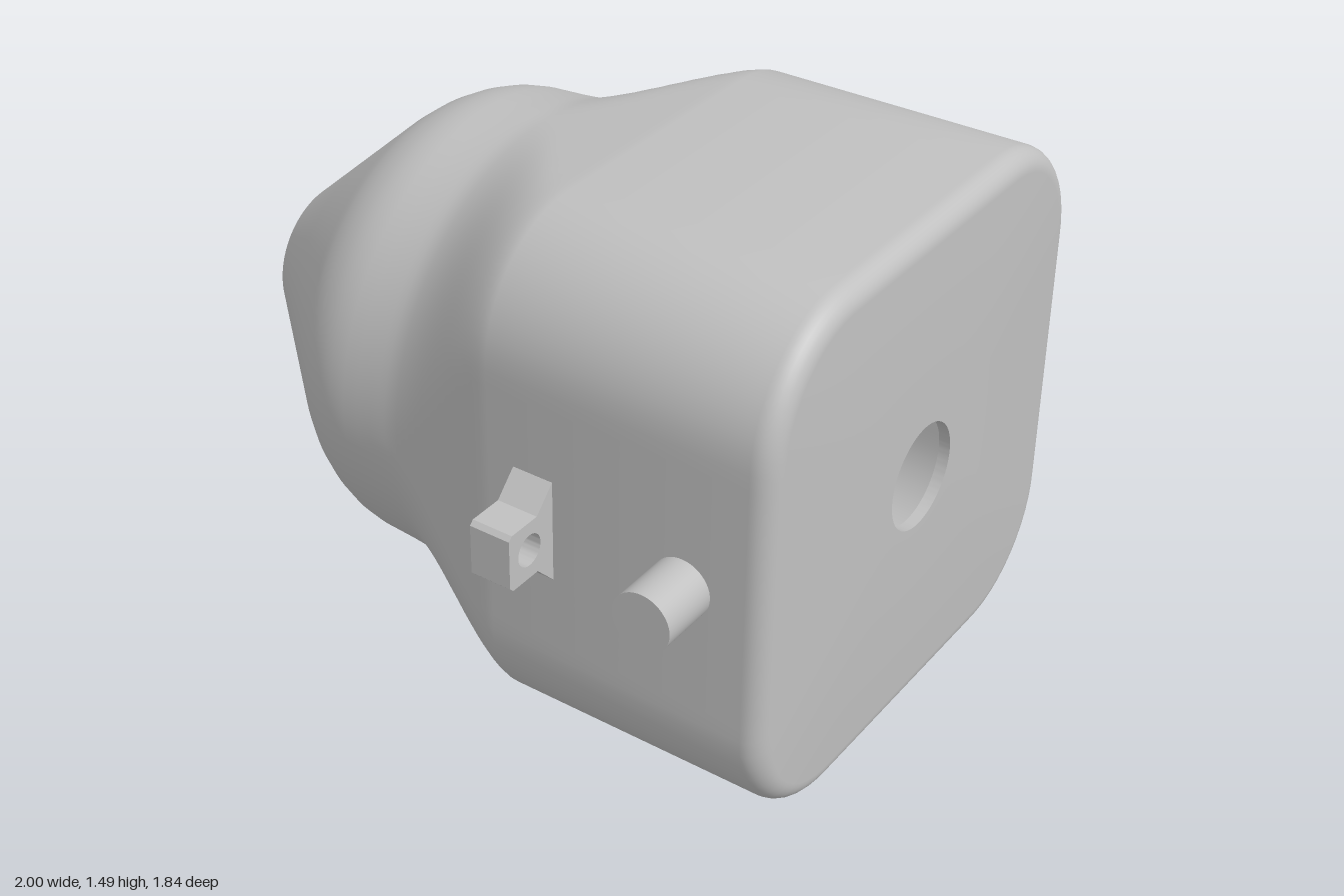
import * as THREE from 'three';
import { toCreasedNormals } from 'three/addons/utils/BufferGeometryUtils.js';

const CY = 0.745;      // height of the long axis
const HALF = 0.745;    // half width of the square end
const CORNER = 0.345;  // corner radius of the square end
const SEG = 128;

// Distance from centre to a rounded square (half width h, corner radius r) at angle a
function reach(h, r, a) {
  const c = Math.abs(Math.cos(a)), s = Math.abs(Math.sin(a)), k = h - r;
  const flat = h / Math.max(c, s);
  if (flat * Math.min(c, s) <= k) return flat;
  const b = k * (c + s);
  return b + Math.sqrt(Math.max(0, b * b - 2 * k * k + r * r));
}

// Half width along the axis
const profile = [[-1, 0.22], [-0.6, 0.575], [-0.55, 0.613], [-0.5, 0.64], [-0.45, 0.658], [-0.4, 0.667],
  [-0.3, 0.673], [-0.2, 0.682], [0.1, 0.733], [0.14, 0.74], [0.18, HALF], [1, HALF]];
function halfWidth(x) {
  const i = Math.max(1, profile.findIndex(p => p[0] >= x));
  const [x0, h0] = profile[i - 1], [x1, h1] = profile[i];
  return h0 + (h1 - h0) * (x - x0) / (x1 - x0);
}

// Cross-section at x: round at the nose, rounded square at the rear
function section(x, inset) {
  const h = halfWidth(x);
  const t = THREE.MathUtils.smoothstep(x, -0.25, 0.18);
  return [x, h - inset, THREE.MathUtils.lerp(h, CORNER, t) - inset];
}

// Hollow shell: outer wall, end face, hole, inner wall, and back to the nose
function shellGeometry() {
  const stations = [-0.8, -0.6];
  for (let x = -0.575; x < 0.19; x += 0.025) stations.push(x);
  const rings = [[-1, 0.22, 0.22], ...stations.map(x => section(x, 0))];
  const fillet = 0.06;
  for (let i = 0; i <= 8; i++) {
    const a = i / 8 * Math.PI / 2, d = fillet * (1 - Math.cos(a));
    rings.push([1 - fillet + fillet * Math.sin(a), HALF - d, CORNER - d]);
  }
  rings.push([1, 0.15, 0.15], [0.968, 0.15, 0.15], [0.968, 0.705, 0.305]);
  for (const x of stations.slice().reverse()) rings.push(section(x, 0.035));
  rings.push([-0.955, 0.22, 0.22]);

  const pos = [], index = [], n = rings.length;
  for (const [x, h, r] of rings) {
    for (let j = 0; j < SEG; j++) {
      const a = j / SEG * Math.PI * 2, d = reach(h, r, a);
      pos.push(x, CY + d * Math.sin(a), d * Math.cos(a));
    }
  }
  for (let i = 0; i < n; i++) {
    const i2 = (i + 1) % n;
    for (let j = 0; j < SEG; j++) {
      const j2 = (j + 1) % SEG;
      const a = i * SEG + j, b = i2 * SEG + j, c = i2 * SEG + j2, d = i * SEG + j2;
      index.push(a, b, d, b, c, d);
    }
  }
  const g = new THREE.BufferGeometry();
  g.setAttribute('position', new THREE.Float32BufferAttribute(pos, 3));
  g.setIndex(index);
  return toCreasedNormals(g, 0.5);
}

// Drilled lug with a flared foot, outline in (z, y), extruded along x
function lugGeometry() {
  const s = new THREE.Shape();
  [[0.72, -0.148], [0.745, -0.148], [0.808, -0.083], [0.908, -0.083], [0.92, -0.071],
    [0.92, 0.071], [0.908, 0.083], [0.808, 0.083], [0.745, 0.148], [0.72, 0.148]]
    .forEach(([z, y], i) => (i ? s.lineTo(z, y) : s.moveTo(z, y)));
  const hole = new THREE.Path();
  hole.absarc(0.84, 0, 0.045, 0, Math.PI * 2, true);
  s.holes.push(hole);
  const g = new THREE.ExtrudeGeometry(s, { depth: 0.12, bevelEnabled: false, curveSegments: 24 });
  g.translate(0, 0, -0.06);
  g.rotateY(-Math.PI / 2);
  return toCreasedNormals(g, 0.5);
}

export function createModel() {
  const group = new THREE.Group();
  const grey = new THREE.MeshStandardMaterial({ color: 0xc0c0c0 });
  grey.name = 'light grey';
  const add = (name, geometry) => {
    const m = new THREE.Mesh(geometry, grey);
    m.name = name;
    group.add(m);
    return m;
  };

  add('shell', shellGeometry());

  // A lug and a peg on each side
  const lug = lugGeometry();
  for (const [side, sign, radius, end] of [['front', 1, 0.083, 0.915], ['back', -1, 0.1, 0.888]]) {
    const l = add(side + 'Lug', lug);
    l.position.set(0.315, CY, 0);
    if (sign < 0) l.rotation.y = Math.PI;

    const base = 0.72;
    const p = add(side + 'Peg', new THREE.CylinderGeometry(radius, radius, end - base, 48));
    p.rotation.x = Math.PI / 2;
    p.position.set(0.76, CY, sign * (end + base) / 2);
  }
  return group;
}
